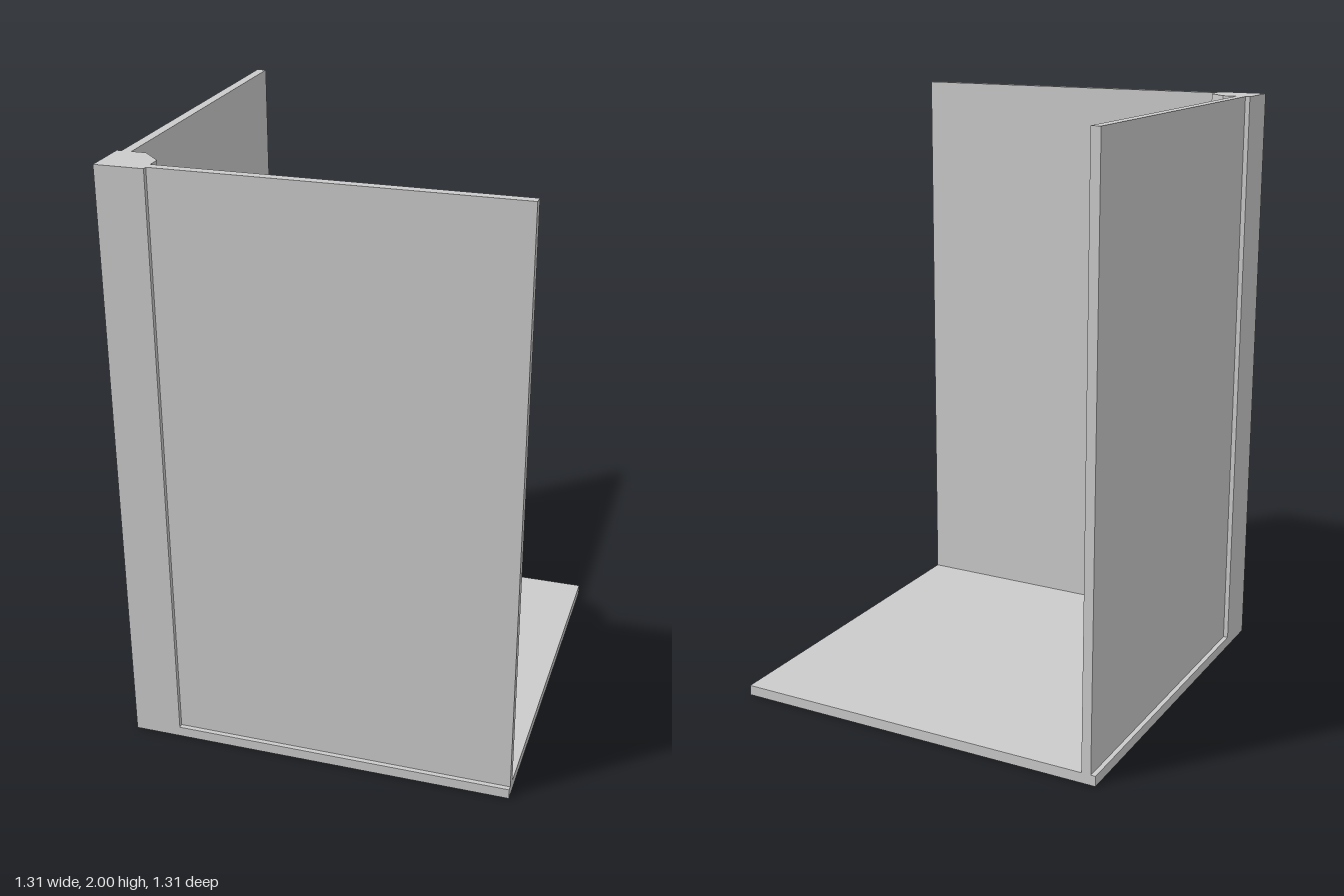
import * as THREE from 'three';

const HALF = 0.655; // half width of the floor
const FLOOR = 0.035; // floor thickness
const TOP = 2;
const POST = 0.495; // inner faces of the corner post
const CHAMFER = 0.56;

export function createModel() {
  const group = new THREE.Group();
  const material = new THREE.MeshStandardMaterial({ color: 0xcccccc, flatShading: true });

  function add(name, geometry) {
    const mesh = new THREE.Mesh(geometry, material);
    mesh.name = name;
    group.add(mesh);
  }

  // Box given by its lower and upper corners
  function block(name, [x0, y0, z0], [x1, y1, z1]) {
    const geometry = new THREE.BoxGeometry(x1 - x0, y1 - y0, z1 - z0);
    geometry.translate((x0 + x1) / 2, (y0 + y1) / 2, (z0 + z1) / 2);
    add(name, geometry);
  }

  // Square floor slab
  block('floor', [-HALF, 0, -HALF], [HALF, FLOOR, HALF]);

  // Thin walls, set slightly in from the floor edge
  block('frontWall', [-POST, FLOOR, 0.607], [HALF, TOP, 0.639]);
  block('sideWall', [-0.639, FLOOR, -HALF], [-0.607, TOP, POST]);

  // Corner post with a chamfered inner edge (shape y is -z)
  const outline = new THREE.Shape([
    [-HALF, -HALF], [-POST, -HALF], [-POST, -CHAMFER], [-CHAMFER, -POST], [-HALF, -POST],
  ].map(([x, y]) => new THREE.Vector2(x, y)));
  const post = new THREE.ExtrudeGeometry(outline, { depth: TOP - FLOOR, bevelEnabled: false });
  post.rotateX(-Math.PI / 2).translate(0, FLOOR, 0);
  add('cornerPost', post);

  return group;
}
